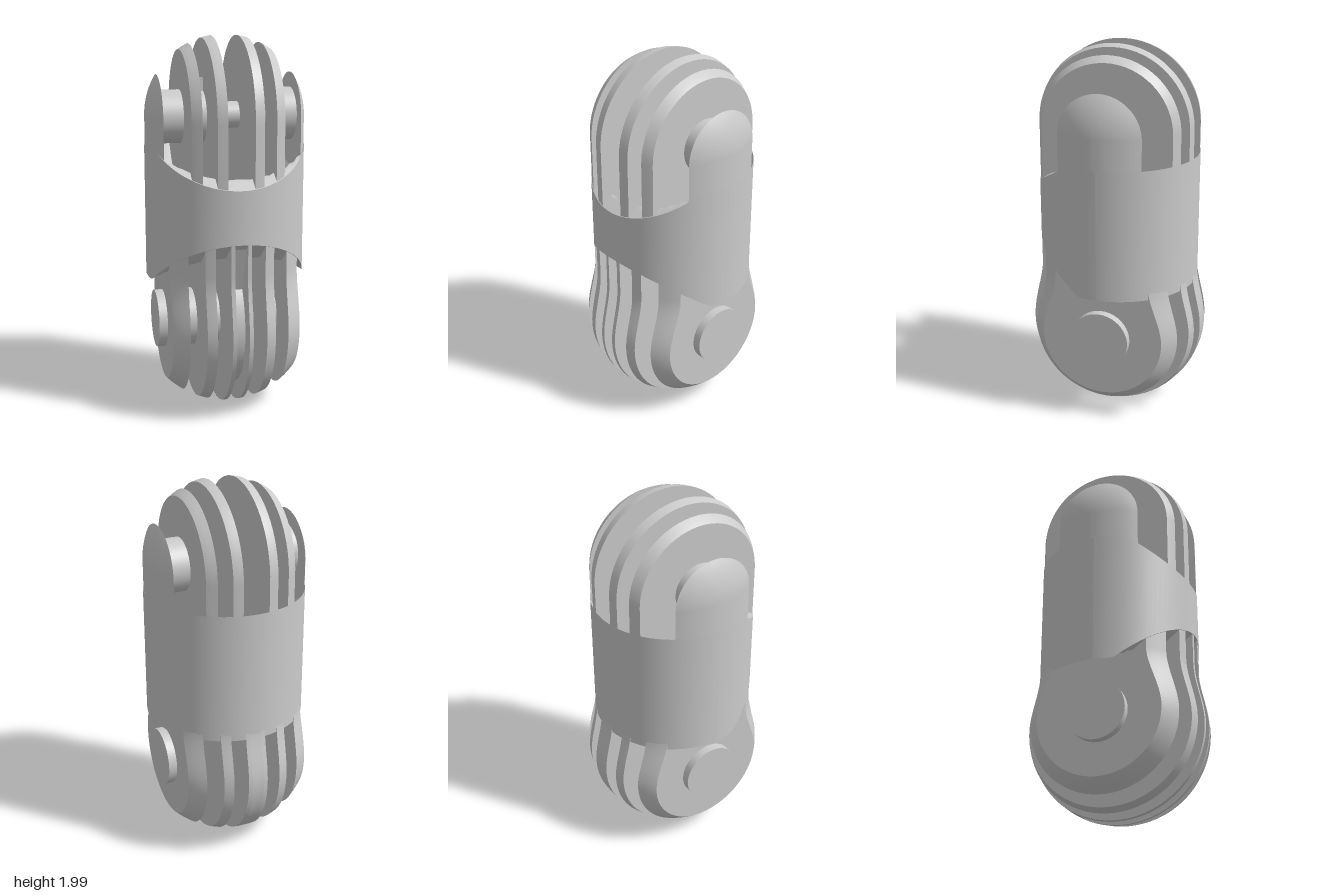
import * as THREE from 'three';
import { toCreasedNormals } from 'three/addons/utils/BufferGeometryUtils.js';

const R = 0.425;          // body radius
const TOP = 1.58;         // upper pivot height
const LOW = 0.475;        // lower pivot height
const BALL = 0.472;       // lower knuckle radius
const mat = new THREE.MeshStandardMaterial({ color: 0xcccccc, roughness: 0.7 });

// Skins a list of closed cross-sections; optional flat end caps for sections that are symmetric pairs
function loft(rows, { closed = false, caps = false } = {}) {
  const n = rows[0].length, pos = rows.flat(2), idx = [];
  const last = closed ? rows.length : rows.length - 1;
  for (let i = 0; i < last; i++) {
    const a = i * n, b = ((i + 1) % rows.length) * n;
    for (let k = 0; k < n; k++) {
      const m = (k + 1) % n;
      idx.push(a + k, b + k, b + m, a + k, b + m, a + m);
    }
  }
  if (caps) {
    const e = (rows.length - 1) * n;
    for (let j = 0; j < n / 2 - 1; j++) {
      const f = j, g = j + 1, fb = n - 1 - j, gb = n - 2 - j;
      idx.push(e + f, e + fb, e + gb, e + f, e + gb, e + g);
      idx.push(f, gb, fb, f, g, gb);
    }
  }
  const geo = new THREE.BufferGeometry();
  geo.setAttribute('position', new THREE.Float32BufferAttribute(pos, 3));
  geo.setIndex(idx);
  return toCreasedNormals(geo, 0.6);
}

// Half outlines [halfDepth, y] from bottom to top at a given x
function capsuleHalf(x) {
  const h = Math.sqrt(Math.max(0, 0.422 ** 2 - x * x)), out = [[h, 1.1]];
  for (let i = 0; i <= 20; i++) {
    const a = (i / 20) * Math.PI / 2;
    out.push([h * Math.cos(a), TOP + h * Math.sin(a)]);
  }
  return out;
}
function knuckleHalf(x) {
  const h = Math.sqrt(BALL ** 2 - x * x), out = [];
  for (let i = 0; i <= 32; i++) {
    const a = (i / 32) * Math.PI / 2;
    out.push([h * Math.sin(a), LOW - h * Math.cos(a)]);
  }
  for (let i = 1; i <= 16; i++) {
    const y = LOW + (i / 16) * 0.325;
    const r = BALL - (BALL - 0.423) * THREE.MathUtils.smoothstep(y, LOW, 0.8);
    out.push([Math.sqrt(r * r - x * x), y]);
  }
  out.push([Math.sqrt(0.423 ** 2 - x * x), 1.05]);
  return out;
}

// Slab of a rounded solid between two x planes
function slab(half, x0, x1, steps = 3, carve = (z, y) => [z, y]) {
  const rows = [];
  for (let i = 0; i <= steps; i++) {
    const x = x0 + (x1 - x0) * Math.sin((i / steps) * Math.PI / 2);
    const pts = half(x);
    const loop = [...pts, ...pts.map(([w, y]) => [-w, y]).reverse()];
    rows.push(loop.map(([z, y]) => [x, ...carve(z, y).reverse()]));
  }
  return loft(rows, { caps: true });
}

// Spherical clearances with a sloped relief at the front
function floorY(x, z) {
  const s = TOP - Math.sqrt(0.2045 - x * x - z * z);
  return z > 0 ? Math.min(s, 1.53 - 0.65 * z) : s;
}
function ceilingY(x, z) {
  const s = 0.47 + Math.sqrt(0.2465 - x * x - z * z);
  return z > 0 ? Math.max(s, 0.65 + 0.76 * z) : s;
}

// Half of the body, wrapped around its vertical tendon hole
function bodyHalf(side, holeZ) {
  const edge = [], N = 48, rings = 14;
  for (let i = 0; i <= N; i++) {
    const a = -Math.PI / 2 + (i / N) * Math.PI;
    edge.push([R * Math.sin(a), R * Math.cos(a)]);
  }
  for (let i = 1; i < 24; i++) edge.push([R - (i / 24) * 2 * R, 0]);
  const rows = edge.map(([ex, ez]) => {
    const d = Math.hypot(ex, ez - holeZ), hx = 0.045 * ex / d, hz = holeZ + 0.045 * (ez - holeZ) / d;
    const top = [], bottom = [];
    for (let k = 0; k <= rings; k++) {
      const t = k / rings;
      const x = side * (ex + (hx - ex) * t), z = side * (ez + (hz - ez) * t);
      top.push([x, floorY(x, z), z]);
      bottom.unshift([x, ceilingY(x, z), z]);
    }
    return [...top, ...bottom];
  });
  return loft(rows, { closed: true });
}

export function createModel() {
  const model = new THREE.Group();
  const add = (name, geo, x = 0, y = 0, z = 0) => {
    const m = new THREE.Mesh(geo, mat);
    m.name = name;
    m.position.set(x, y, z);
    model.add(m);
    return m;
  };
  const rod = (name, r, x0, x1, y) =>
    add(name, new THREE.CylinderGeometry(r, r, x1 - x0, 40).rotateZ(Math.PI / 2), (x0 + x1) / 2, y);
  // Slab placed on both sides
  const pair = (name, half, x0, x1, steps) => {
    add(name + 'Left', slab(half, x0, x1, steps));
    add(name + 'Right', slab(half, x0, x1, steps).rotateY(Math.PI));
  };

  // Body
  add('bodyFront', bodyHalf(1, 0.24));
  add('bodyBack', bodyHalf(-1, 0.27));

  // Upper fork: fins and side cheeks
  pair('upperInnerFin', capsuleHalf, 0.07, 0.12);
  pair('upperOuterFin', capsuleHalf, 0.19, 0.24);
  pair('cheek', capsuleHalf, 0.36, 0.4219, 8);

  // Upper pin, thinner in the middle, with stop keys
  rod('upperPinCore', 0.07, -0.08, 0.08, TOP);
  for (const s of [-1, 1]) {
    rod('upperPin', 0.14, s > 0 ? 0.08 : -0.37, s > 0 ? 0.37 : -0.08, TOP);
    add('upperStopKey', new THREE.BoxGeometry(0.08, 0.12, 0.03), s * 0.155, 1.72, 0.025);
  }

  // Lower knuckle fins; the outer two match by mirror symmetry front to back except for the groove
  for (const s of [-1, 1]) {
    const turn = (g) => (s < 0 ? g.rotateY(Math.PI) : g);
    add('lowerOuterFin', turn(slab(knuckleHalf, 0.26, 0.34, 4)));
    add('lowerInnerFin', turn(slab(knuckleHalf, 0.13, 0.18)));
    add('grooveWall', turn(slab(knuckleHalf, 0.033, 0.054, 1)));
    add('lowerStopKey', new THREE.BoxGeometry(0.09, 0.12, 0.03), s * 0.09, 0.33, 0.025);
  }

  // Middle fin core with the tendon groove around its front and underside
  const groove = (z, y) => {
    const a = THREE.MathUtils.radToDeg(Math.atan2(y - LOW, z)), d = Math.hypot(z, y - LOW);
    const k = a < 40 && a > -115 ? 0.37 / d : 1;
    return [z * k, LOW + (y - LOW) * k];
  };
  add('grooveCore', slab(knuckleHalf, -0.033, 0.033, 1, groove));

  // Lower pin
  rod('lowerPin', 0.155, -0.385, 0.385, LOW);
  return model;
}
